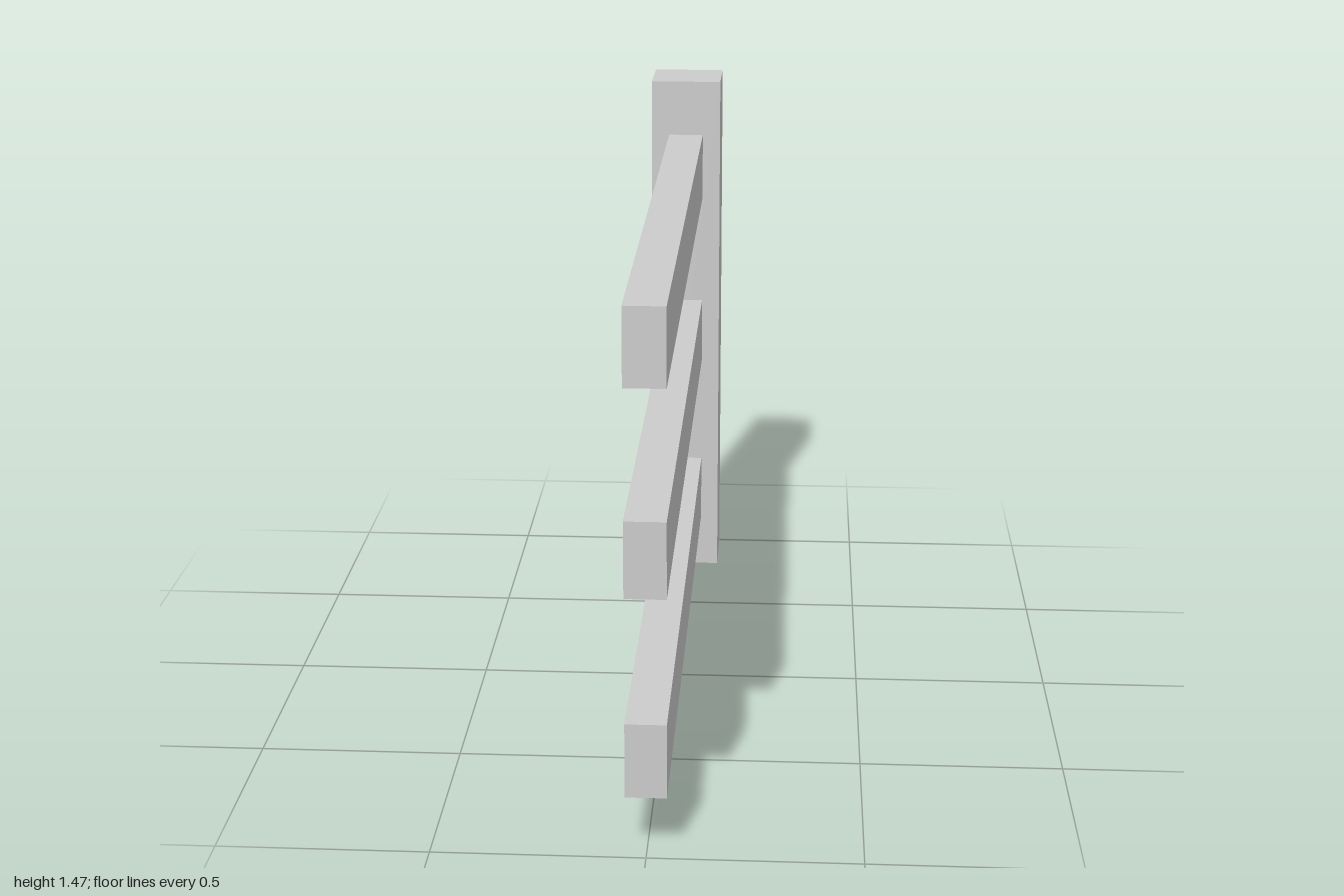
import * as THREE from 'three';

const POST_WIDTH = 0.194, POST_HEIGHT = 1.465;
const RAIL_WIDTH = 0.096, RAIL_HEIGHT = 0.183;

export function createModel() {
  const model = new THREE.Group();
  model.name = 'fenceSection';
  const material = new THREE.MeshStandardMaterial({ color: 0xcccccc, flatShading: true });

  const addBox = (name, width, height, depth, y, z) => {
    const mesh = new THREE.Mesh(new THREE.BoxGeometry(width, height, depth), material);
    mesh.name = name;
    mesh.position.set(0, y, z);
    model.add(mesh);
  };

  // Square post at the back end
  addBox('post', POST_WIDTH, POST_HEIGHT, POST_WIDTH, POST_HEIGHT / 2, -1 + POST_WIDTH / 2);

  // Three evenly spaced rails running forward from the post face
  const railLength = 2 - POST_WIDTH;
  ['lowerRail', 'middleRail', 'upperRail'].forEach((name, i) => {
    addBox(name, RAIL_WIDTH, RAIL_HEIGHT, railLength, 0.245 + i * 0.488, 1 - railLength / 2);
  });

  return model;
}
